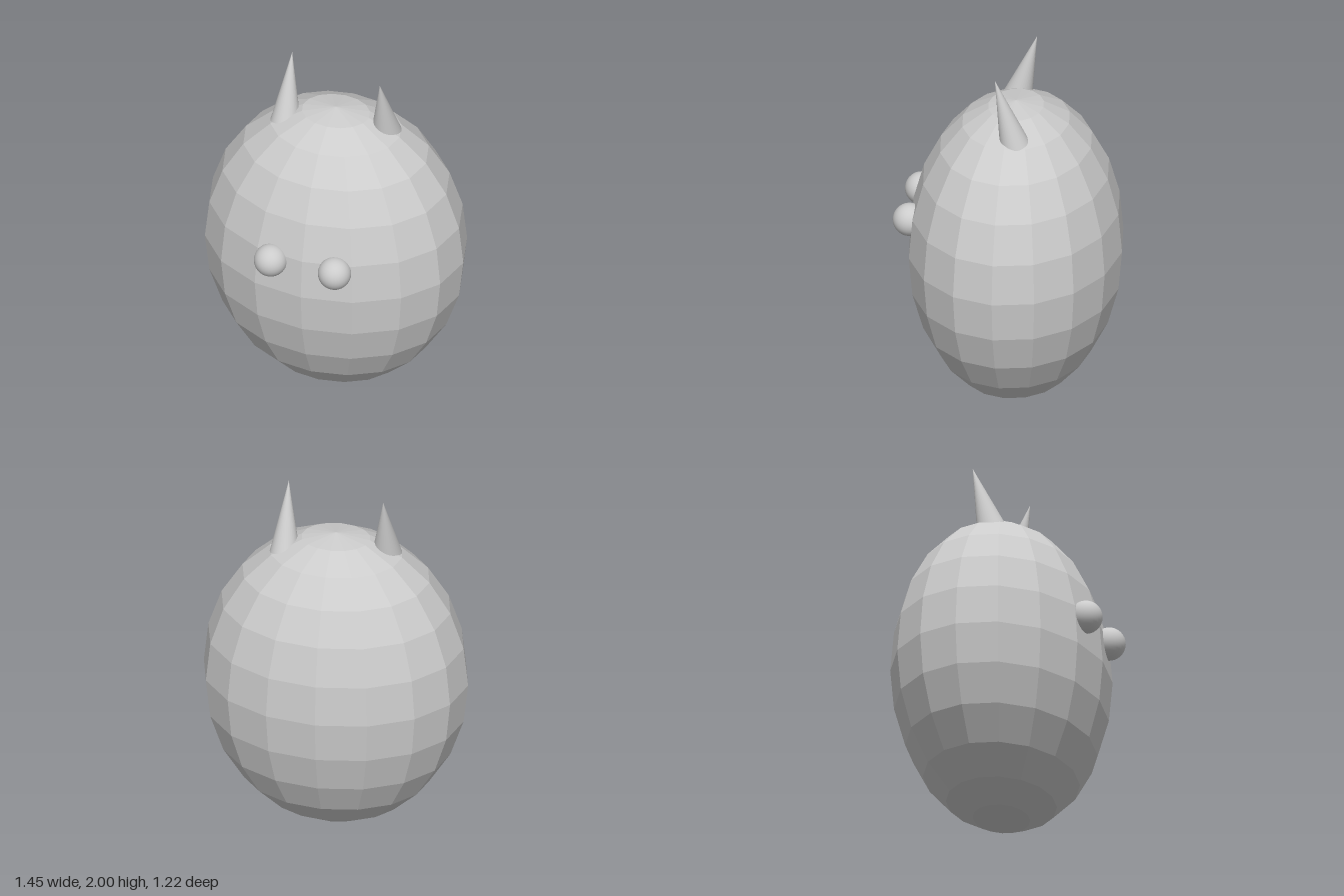
import * as THREE from 'three';

const BODY_Z = -0.03;

export function createModel() {
  const group = new THREE.Group();
  const smooth = new THREE.MeshStandardMaterial({ color: 0xcccccc });
  const faceted = new THREE.MeshStandardMaterial({ color: 0xcccccc, flatShading: true });

  const add = (name, geometry, material, x, y, z) => {
    const mesh = new THREE.Mesh(geometry, material);
    mesh.name = name;
    mesh.position.set(x, y, z);
    group.add(mesh);
    return mesh;
  };

  // Egg-shaped faceted body
  const bodyGeometry = new THREE.SphereGeometry(1, 16, 12).scale(0.725, 0.873, 0.58);
  add('body', bodyGeometry, faceted, 0, 0.873, BODY_Z);

  // Horn with its tip at the origin, sunk into the body at its base
  const hornLength = 0.45;
  const hornGeometry = new THREE.ConeGeometry(0.093, hornLength, 32);
  hornGeometry.translate(0, -hornLength / 2, 0);
  const eyeGeometry = new THREE.SphereGeometry(0.09, 32, 16);

  for (const side of [1, -1]) {
    const label = side > 0 ? 'left' : 'right';
    add(label + 'Eye', eyeGeometry, smooth, side * 0.182, 1.06, 0.52);

    // Left horn leans forward, right horn leans back
    const horn = add(label + 'Horn', hornGeometry, smooth, side * 0.272, 2, BODY_Z + side * 0.066);
    horn.rotation.x = side * 0.28;
  }

  return group;
}
